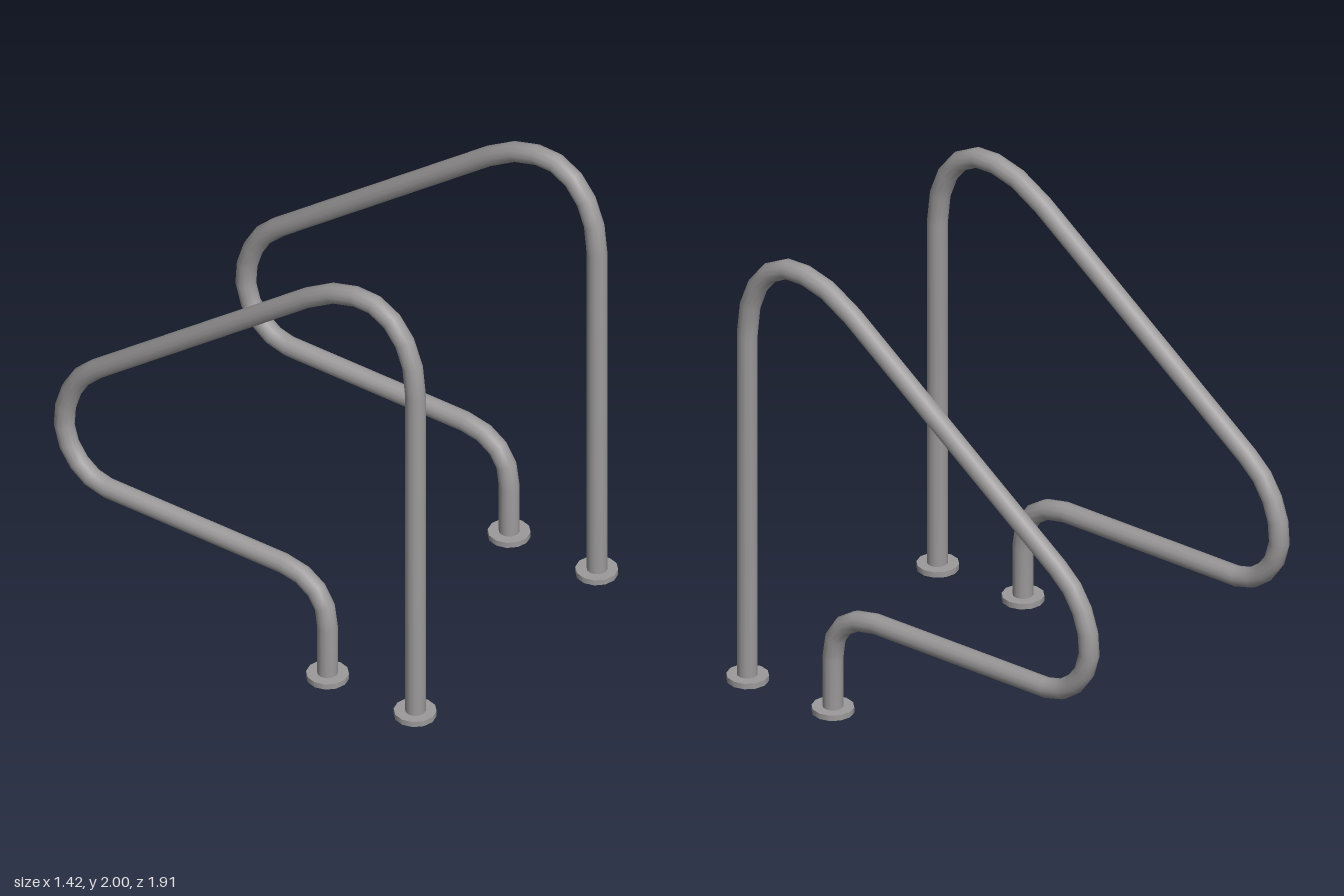
import * as THREE from 'three';

// Centre line of one rail as [z, y], from the front foot round to the inner foot
const PATH = [
  [0.867, 0.01], [0.867, 1.59], [0.852, 1.725], [0.812, 1.83], [0.747, 1.91], [0.66, 1.955],
  [0.565, 1.957], [0.45, 1.925], [0.32, 1.848],
  [-0.745, 1.045], [-0.82, 0.975], [-0.872, 0.89], [-0.903, 0.795], [-0.91, 0.7],
  [-0.885, 0.612], [-0.835, 0.542], [-0.77, 0.495], [-0.69, 0.475],
  [0.20, 0.475], [0.295, 0.457], [0.365, 0.412], [0.408, 0.345], [0.422, 0.25], [0.422, 0.01],
];

// Curve that steps exactly from bend point to bend point
class BentPath extends THREE.Curve {
  constructor(points) {
    super();
    this.points = points;
  }
  getPoint(t, target = new THREE.Vector3()) {
    const n = this.points.length - 1;
    const i = Math.min(Math.floor(t * n + 1e-6), n - 1);
    return target.lerpVectors(this.points[i], this.points[i + 1], t * n - i);
  }
  getPointAt(u, target) {
    return this.getPoint(u, target);
  }
  getTangentAt(u, target = new THREE.Vector3()) {
    const p = this.points, n = p.length - 1, i = Math.round(u * n);
    target.set(0, 0, 0);
    if (i > 0) target.add(p[i].clone().sub(p[i - 1]).normalize());
    if (i < n) target.add(p[i + 1].clone().sub(p[i]).normalize());
    return target.normalize();
  }
}

export function createModel() {
  const group = new THREE.Group();
  group.name = 'poolHandrails';
  const steel = new THREE.MeshStandardMaterial({ color: 0x9c9a9a });
  steel.name = 'steel grey';

  const curve = new BentPath(PATH.map(([z, y]) => new THREE.Vector3(0, y, z)));
  const railGeometry = new THREE.TubeGeometry(curve, PATH.length - 1, 0.043, 12, false);
  const flangeGeometry = new THREE.CylinderGeometry(0.088, 0.088, 0.025, 12);

  // Matching left and right rails, each on two floor flanges
  for (const [side, x] of [['left', 0.62], ['right', -0.62]]) {
    const handrail = new THREE.Group();
    handrail.name = side + 'Handrail';
    handrail.position.x = x;

    const rail = new THREE.Mesh(railGeometry, steel);
    rail.name = side + 'Rail';
    handrail.add(rail);

    for (const [end, z] of [['Front', 0.865], ['Inner', 0.422]]) {
      const flange = new THREE.Mesh(flangeGeometry, steel);
      flange.name = side + end + 'Flange';
      flange.position.set(0, 0.0125, z);
      handrail.add(flange);
    }
    group.add(handrail);
  }
  return group;
}
